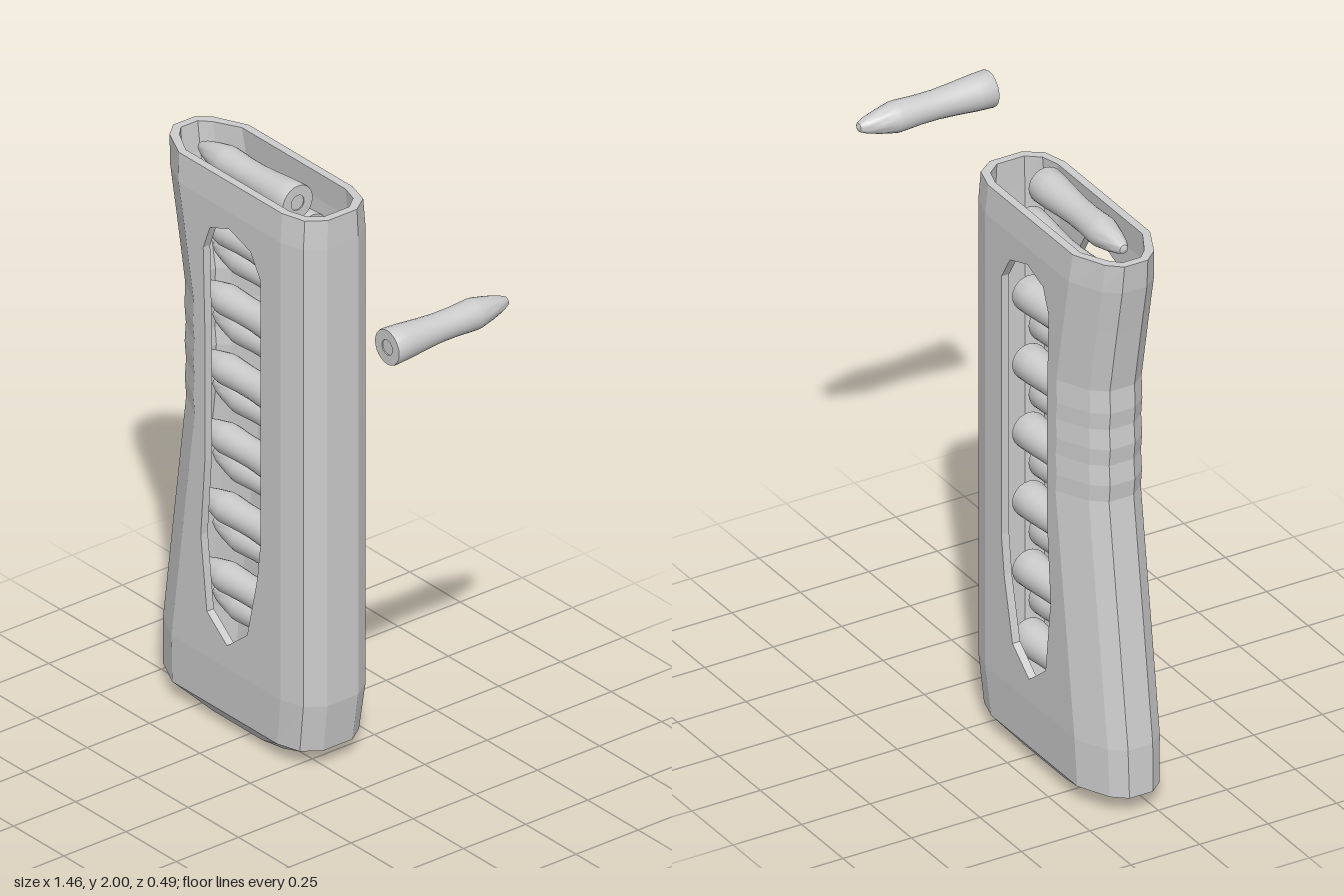
import * as THREE from 'three';
import { toCreasedNormals } from 'three/addons/utils/BufferGeometryUtils.js';

const WALL = 0.028, MID_Z = -0.05, HALF = 0.15;
const PANEL_LOW = 0.23, PANEL_HIGH = 1.86;

// Case silhouette, bottom to top: height, left edge x, right edge x, half depth
const ROWS = [
  [0.005, -0.58, -0.06, 0.1], [0.06, -0.73, 0.065, 0.143], [0.23, -0.725, 0.09, 0.15],
  [0.56, -0.68, 0.09, 0.15], [1.07, -0.61, 0.09, 0.15], [1.13, -0.617, 0.09, 0.15],
  [1.2, -0.611, 0.09, 0.15], [1.26, -0.618, 0.09, 0.15], [1.33, -0.612, 0.09, 0.15],
  [1.39, -0.619, 0.09, 0.15], [1.47, -0.615, 0.09, 0.15], [1.7, -0.658, 0.09, 0.15],
  [1.86, -0.69, 0.09, 0.15], [1.96, -0.70, 0.088, 0.141],
];
const leftCrease = (l) => l + 0.15;
const rightCrease = (r) => r - 0.125;

// Twelve-sided cross-section, inset by t for the inner wall
function ring([y, l, r, h], t) {
  const s = h / HALF, d = h - t;
  const half = [
    [r - t, 0.062 * s - t * 0.3], [r - 0.042 - t * 0.8, 0.125 * s - t * 0.8], [rightCrease(r), d],
    [leftCrease(l), d], [l + 0.04 + t * 0.8, 0.095 * s - t * 0.8], [l + t, 0.045 * s - t * 0.3],
  ];
  const back = half.map(([x, z]) => [x, y, MID_Z - z]);
  const front = half.map(([x, z]) => [x, y, MID_Z + z]).reverse();
  return [...back, ...front];
}

// Outer skin, rim and inner skin in one loft, leaving out the window panels
function caseGeometry() {
  const outer = ROWS.map((row) => ring(row, 0));
  const inner = ROWS.slice(1).reverse().map((row) => ring(row, WALL));
  const rings = [...outer, ...inner];
  const pos = [];
  const tri = (...p) => p.forEach((v) => pos.push(...v));
  const inPanel = (y) => y >= PANEL_LOW && y <= PANEL_HIGH;
  for (let k = 0; k < rings.length - 1; k++) {
    const a = rings[k], b = rings[k + 1];
    const open = inPanel(a[0][1]) && inPanel(b[0][1]);
    for (let i = 0; i < 12; i++) {
      if (open && (i === 2 || i === 8)) continue;
      const j = (i + 1) % 12;
      tri(a[i], a[j], b[j]);
      tri(a[i], b[j], b[i]);
    }
  }
  // Base and inside floor
  const first = rings[0], last = rings[rings.length - 1];
  const c0 = [-0.32, 0, MID_Z], c1 = [-0.32, last[0][1], MID_Z];
  for (let i = 0; i < 12; i++) {
    const j = (i + 1) % 12;
    tri(c0, first[j], first[i]);
    tri(c1, last[i], last[j]);
  }
  const g = new THREE.BufferGeometry();
  g.setAttribute('position', new THREE.Float32BufferAttribute(pos, 3));
  g.computeVertexNormals();
  return g;
}

// Flat side panel with the long window cut through
function panelGeometry() {
  const rows = ROWS.filter(([y]) => y >= PANEL_LOW && y <= PANEL_HIGH);
  const v = (x, y) => new THREE.Vector2(x, y);
  const shape = new THREE.Shape([
    ...rows.map(([y, , r]) => v(rightCrease(r), y)),
    ...rows.map(([y, l]) => v(leftCrease(l), y)).reverse(),
  ]);
  shape.holes.push(new THREE.Path([
    v(-0.29, 1.8), v(-0.385, 1.765), v(-0.418, 1.68), v(-0.41, 1.4), v(-0.41, 0.92), v(-0.43, 0.65),
    v(-0.4, 0.39), v(-0.3, 0.31), v(-0.2, 0.39), v(-0.15, 0.61), v(-0.133, 0.75), v(-0.133, 1.68), v(-0.185, 1.765),
  ]));
  return new THREE.ExtrudeGeometry(shape, { depth: WALL, bevelEnabled: false });
}

// Round: flared base, narrow waist, pointed tip along +y
function roundGeometry() {
  const profile = [
    [0, 0.004], [0.026, 0.004], [0.026, 0], [0.06, 0], [0.062, 0.006], [0.059, 0.06], [0.052, 0.14],
    [0.048, 0.2], [0.048, 0.26], [0.052, 0.34], [0.051, 0.355], [0.039, 0.41], [0.026, 0.455],
    [0.015, 0.478], [0, 0.485],
  ].map(([x, y]) => new THREE.Vector2(x, y));
  return toCreasedNormals(new THREE.LatheGeometry(profile, 24), 0.6);
}

export function createModel() {
  const model = new THREE.Group();
  model.name = 'magazineWithRounds';
  const grey = new THREE.MeshStandardMaterial({ color: 0xcccccc });
  grey.name = 'lightGrey';
  const add = (name, geometry, parent = model) => {
    const mesh = new THREE.Mesh(geometry, grey);
    mesh.name = name;
    parent.add(mesh);
    return mesh;
  };

  add('caseShell', caseGeometry());
  const panel = panelGeometry();
  add('frontWindowPanel', panel).position.z = MID_Z + HALF - WALL;
  add('backWindowPanel', panel).position.z = MID_Z - HALF;

  // Staggered double stack, tips toward -x
  const round = roundGeometry();
  const stack = new THREE.Group();
  stack.name = 'roundStack';
  model.add(stack);
  for (let i = 0; i < 14; i++) {
    const mesh = add('stackedRound', round, stack);
    mesh.rotation.z = Math.PI / 2;
    mesh.position.set(-0.092, 1.938 - i * 0.1235, i % 2 ? -0.076 : -0.016);
  }

  // Single round beside the case, tip toward the back
  const loose = add('looseRound', round);
  loose.rotation.x = -Math.PI / 2;
  loose.position.set(0.667, 1.835, 0.24);
  return model;
}
